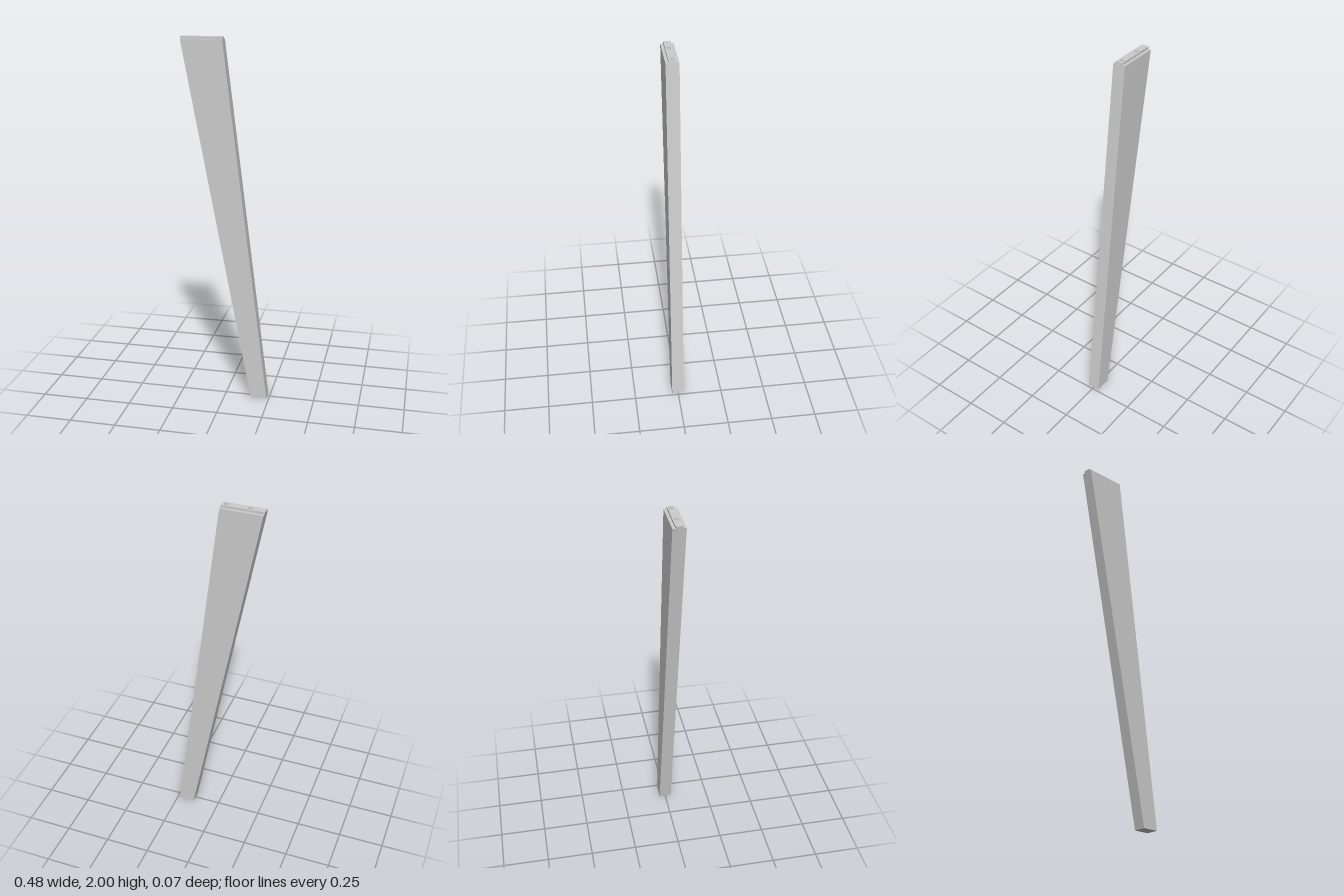
import * as THREE from 'three';

const material = new THREE.MeshStandardMaterial({ color: 0xcccccc, flatShading: true });
const boreMaterial = new THREE.MeshStandardMaterial({ color: 0xcccccc, side: THREE.BackSide });

const HALF = 0.034, TONGUE = 0.019, SHOULDER = 1.988, TOP = 2;

// Slanted edges of the tapered leg
const edgeLeft = y => THREE.MathUtils.lerp(0.148, -0.239, y / TOP);
const edgeRight = y => THREE.MathUtils.lerp(0.237, -0.017, y / TOP);

// Cross-section (z, y) with a shallow tongue on top
const profile = [
  [-HALF, 0], [HALF, 0], [HALF, SHOULDER], [TONGUE, SHOULDER],
  [TONGUE, TOP], [-TONGUE, TOP], [-TONGUE, SHOULDER], [-HALF, SHOULDER],
].map(p => new THREE.Vector2(...p));
const FRONT_EDGE = 1, TOP_EDGE = 4; // drilled faces, made separately

function legShell() {
  const positions = [];
  const at = (edge, p) => [edge(p.y), p.y, p.x];
  profile.forEach((p, i) => {
    if (i === FRONT_EDGE || i === TOP_EDGE) return;
    const q = profile[(i + 1) % profile.length];
    const [a, b, c, d] = [at(edgeLeft, p), at(edgeRight, p), at(edgeRight, q), at(edgeLeft, q)];
    positions.push(...a, ...b, ...c, ...a, ...c, ...d);
  });
  // Slanted narrow sides
  for (const [i, j, k] of THREE.ShapeUtils.triangulateShape(profile, [])) {
    for (const n of [i, j, k]) positions.push(...at(edgeLeft, profile[n]));
    for (const n of [k, j, i]) positions.push(...at(edgeRight, profile[n]));
  }
  const geometry = new THREE.BufferGeometry();
  geometry.setAttribute('position', new THREE.Float32BufferAttribute(positions, 3));
  geometry.computeVertexNormals();
  return geometry;
}

// Flat face in local xy, with blind holes sunk along -z
function drilledFace(name, corners, holes, radius, depth) {
  const face = new THREE.Group();
  face.name = name;
  const shape = new THREE.Shape(corners.map(c => new THREE.Vector2(...c)));
  const add = (part, geometry, mat) => {
    const mesh = new THREE.Mesh(geometry, mat);
    mesh.name = part;
    face.add(mesh);
  };
  for (const [x, y] of holes) {
    shape.holes.push(new THREE.Path().absarc(x, y, radius, 0, Math.PI * 2, true));
    const wall = new THREE.CylinderGeometry(radius, radius, depth, 24, 1, true);
    add('holeWall', wall.rotateX(Math.PI / 2).translate(x, y, -depth / 2), boreMaterial);
    add('holeBottom', new THREE.CircleGeometry(radius, 24).translate(x, y, -depth), material);
  }
  add(name + 'Surface', new THREE.ShapeGeometry(shape, 24), material);
  return face;
}

export function createModel() {
  const model = new THREE.Group();
  model.name = 'taperedLeg';

  const shell = new THREE.Mesh(legShell(), material);
  shell.name = 'legBody';
  model.add(shell);

  // Front face with three screw holes
  const front = drilledFace('frontFace', [
    [edgeLeft(0), 0], [edgeRight(0), 0],
    [edgeRight(SHOULDER), SHOULDER], [edgeLeft(SHOULDER), SHOULDER],
  ], [[-0.09, 1.693], [-0.077, 1.593], [-0.064, 1.492]], 0.011, 0.035);
  front.position.z = HALF;
  model.add(front);

  // Tongue top with two dowel holes
  const l = edgeLeft(TOP), r = edgeRight(TOP);
  const top = drilledFace('tongueTop',
    [[l, -TONGUE], [r, -TONGUE], [r, TONGUE], [l, TONGUE]],
    [[-0.16, 0], [-0.039, 0]], 0.0105, 0.06);
  top.rotation.x = -Math.PI / 2;
  top.position.y = TOP;
  model.add(top);

  return model;
}
